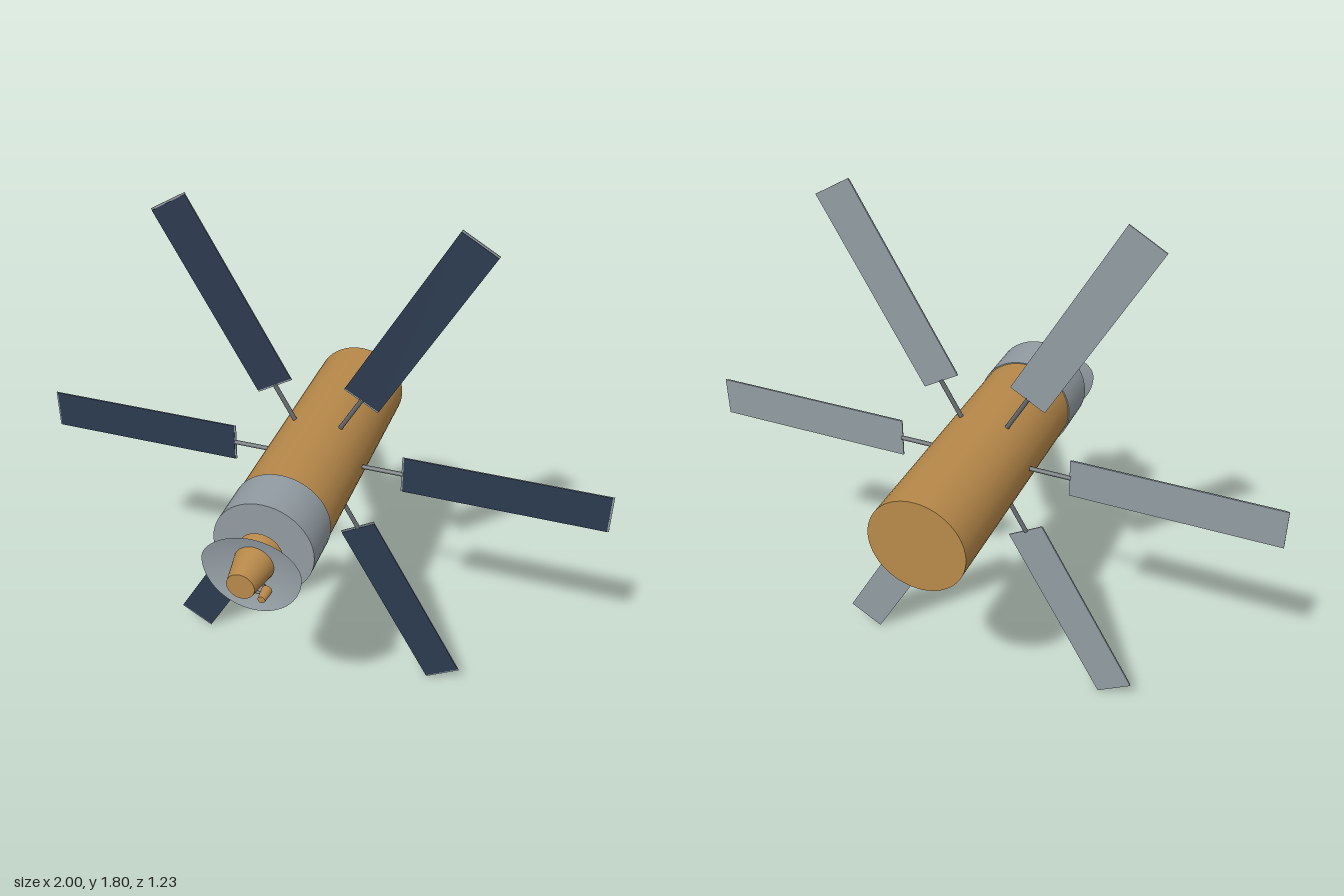
import * as THREE from 'three';

const AXIS_Y = 0.903;
const make = (name, color, side = THREE.FrontSide) => {
  const m = new THREE.MeshStandardMaterial({ color, side });
  m.name = name;
  return m;
};

export function createModel() {
  const gold = make('gold foil', 0xb8894a);
  const grey = make('light grey metal', 0x929ca2, THREE.DoubleSide);
  const dark = make('dark grey metal', 0x62686c);
  const blue = make('solar cell blue', 0x2c3b50);

  const model = new THREE.Group();
  model.name = 'spacecraft';
  const hub = new THREE.Group(); // everything is built around the body axis
  hub.name = 'hub';
  hub.position.y = AXIS_Y;
  model.add(hub);

  const add = (parent, name, geometry, material) => {
    const mesh = new THREE.Mesh(geometry, material);
    mesh.name = name;
    parent.add(mesh);
    return mesh;
  };
  // Round part along z, from back to front
  const barrel = (name, rBack, rFront, zBack, zFront, material, x = 0, y = 0) => {
    const g = new THREE.CylinderGeometry(rFront, rBack, zFront - zBack, 48);
    g.rotateX(Math.PI / 2);
    g.translate(x, y, (zBack + zFront) / 2);
    return add(hub, name, g, material);
  };
  // Thin rod between two points
  const rod = (parent, name, a, b, r) => {
    const line = new THREE.LineCurve3(new THREE.Vector3(...a), new THREE.Vector3(...b));
    return add(parent, name, new THREE.TubeGeometry(line, 1, r, 10), dark);
  };

  // Body and collar
  barrel('body', 0.163, 0.163, -0.615, 0.26, gold);
  barrel('collar', 0.167, 0.167, 0.255, 0.42, grey);

  // Feed cone and its small side thruster
  barrel('feedCone', 0.075, 0.045, 0.445, 0.613, gold);
  barrel('sideNozzle', 0.017, 0.012, 0.565, 0.613, gold, 0.066, -0.033);
  rod(hub, 'nozzleArm', [0.03, -0.03, 0.585], [0.066, -0.033, 0.585], 0.005);
  rod(hub, 'nozzleBrace', [0.035, -0.068, 0.51], [0.062, -0.037, 0.575], 0.005);

  // Struts holding the cone and the dish
  for (const s of [-1, 1]) rod(hub, 'upperStrut', [s * 0.018, -0.045, 0.415], [s * 0.01, -0.04, 0.46], 0.006);
  rod(hub, 'lowerStrut', [0, -0.1, 0.415], [0, -0.065, 0.505], 0.007);

  // Dish: shallow paraboloid with a flattened upper half
  const dish = new THREE.RingGeometry(0.02, 0.163, 64, 8);
  const p = dish.attributes.position;
  for (let i = 0; i < p.count; i++) {
    const x = p.getX(i);
    const y = p.getY(i) * (p.getY(i) > 0 ? 0.61 : 1);
    p.setXYZ(i, x, y, 0.496 + 1.1 * (x * x + y * y));
  }
  dish.computeVertexNormals();
  add(hub, 'dish', dish, grey);

  // Six radial solar wings
  for (let i = 0; i < 6; i++) {
    const wing = new THREE.Group();
    wing.name = 'solarWing';
    wing.position.z = -0.105;
    wing.rotation.z = (i * Math.PI) / 3;
    hub.add(wing);
    rod(wing, 'boom', [0.15, 0, 0], [0.305, 0, 0], 0.008);
    const back = add(wing, 'panelBack', new THREE.BoxGeometry(0.7, 0.136, 0.004), grey);
    back.position.x = 0.65;
    const cells = add(wing, 'solarCells', new THREE.BoxGeometry(0.688, 0.136, 0.002), blue);
    cells.position.set(0.65, 0, 0.003);
  }
  return model;
}
